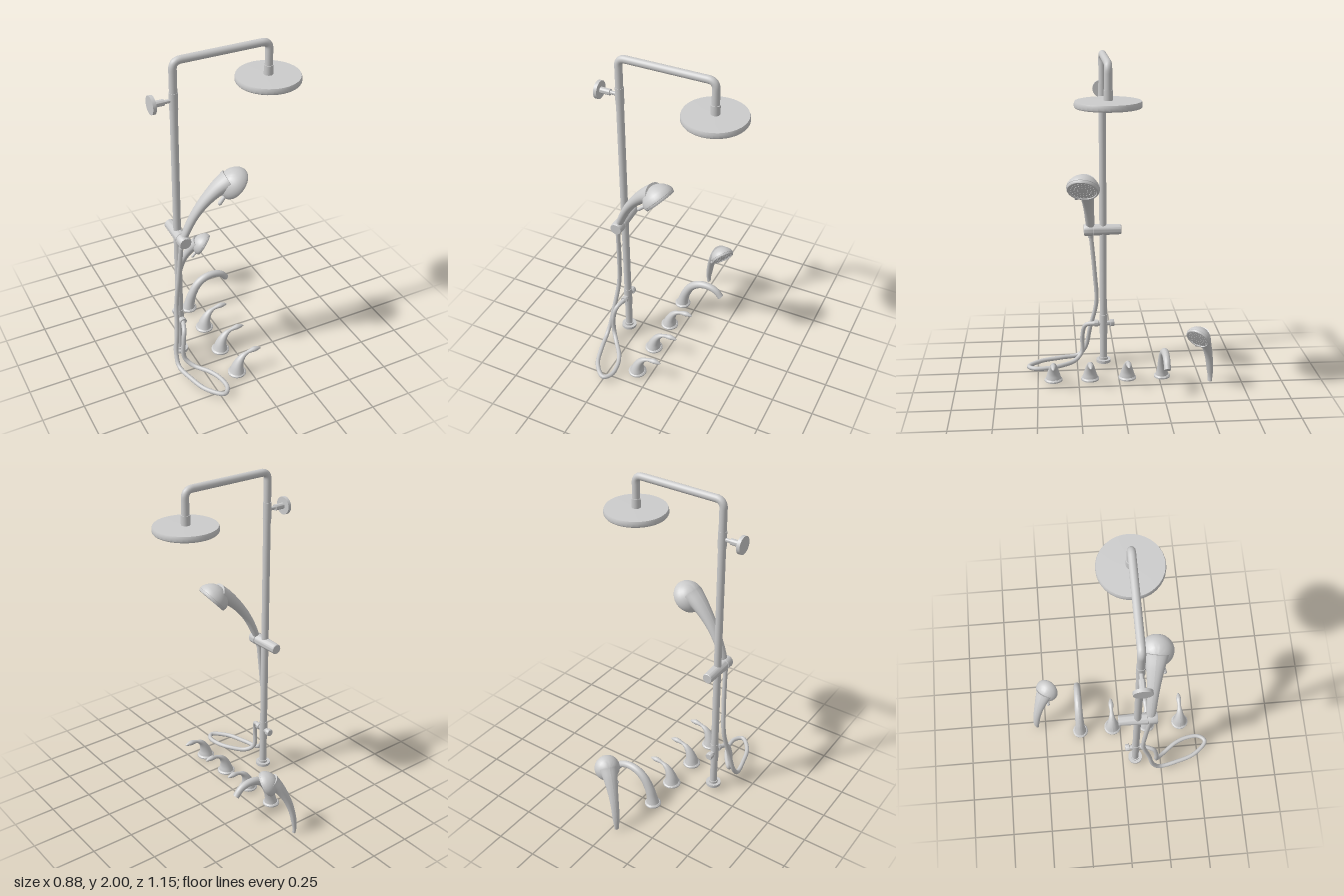
import * as THREE from 'three';
import { mergeGeometries, toCreasedNormals } from 'three/addons/utils/BufferGeometryUtils.js';

const material = new THREE.MeshStandardMaterial({ color: 0xcccccc });
const openMaterial = new THREE.MeshStandardMaterial({ color: 0xcccccc, side: THREE.DoubleSide });
const COL_X = -0.308, COL_Z = 0.083;
const V = (x, y, z) => new THREE.Vector3(x, y, z);

function add(parent, name, geometry, x = 0, y = 0, z = 0, mat = material) {
  const mesh = new THREE.Mesh(geometry, mat);
  mesh.name = name;
  mesh.position.set(x, y, z);
  parent.add(mesh);
  return mesh;
}

// Revolved profile of [radius, height] pairs, listed from bottom to top
function lathe(profile, sides = 32) {
  const g = new THREE.LatheGeometry(profile.map(([r, y]) => new THREE.Vector2(r, y)), sides);
  return toCreasedNormals(g, 0.6);
}

// Tapered sweep in the XY plane; each point is [x, y, radius], width stretches it along z
function sweep(points, { steps = 32, sides = 24, width = 1, openStart = false } = {}) {
  const curve = new THREE.CatmullRomCurve3(points.map(p => V(...p)), false, 'centripetal');
  const pos = [], index = [];
  const ring = (t, scale) => {
    const p = curve.getPoint(t), d = curve.getTangent(t);
    const l = Math.hypot(d.x, d.y), r = p.z * scale;
    for (let j = 0; j <= sides; j++) {
      const a = (j / sides) * Math.PI * 2, c = Math.cos(a) * r;
      pos.push(p.x - (d.y / l) * c, p.y + (d.x / l) * c, Math.sin(a) * r * width);
    }
  };
  const strip = rings => {
    const first = pos.length / 3, n = sides + 1;
    rings.forEach(([t, s]) => ring(t, s));
    for (let i = 0; i < rings.length - 1; i++) {
      for (let j = 0; j < sides; j++) {
        const a = first + i * n + j, c = a + n;
        index.push(a, a + 1, c, a + 1, c + 1, c);
      }
    }
  };
  strip(Array.from({ length: steps + 1 }, (_, i) => [i / steps, 1]));
  if (!openStart) strip([[0, 0], [0, 1]]);
  strip([[1, 1], [1, 0]]);
  const g = new THREE.BufferGeometry();
  g.setAttribute('position', new THREE.Float32BufferAttribute(pos, 3));
  g.setIndex(index);
  g.computeVertexNormals();
  return g;
}

// Rings of little spray nozzles; each ring is [radius, count]
function nozzles(rings, size, height) {
  const parts = [];
  for (const [r, count] of rings) {
    for (let i = 0; i < count; i++) {
      const a = (i / count) * Math.PI * 2;
      parts.push(new THREE.CylinderGeometry(size, size * 0.7, height, 6)
        .translate(Math.cos(a) * r, -height / 2, Math.sin(a) * r));
    }
  }
  return mergeGeometries(parts);
}

function column() {
  const g = new THREE.Group();
  g.name = 'column';
  // Riser, overhead arm and drop as one bent pipe
  const top = 1.977, end = 0.255, b = 0.045;
  const path = new THREE.CurvePath();
  const corners = [V(COL_X, 0.035, COL_Z), V(COL_X, top, COL_Z), V(end, top, COL_Z), V(end, 1.78, COL_Z)];
  let from = corners[0];
  for (let i = 1; i < 3; i++) {
    const c = corners[i];
    const p = c.clone().add(corners[i - 1].clone().sub(c).setLength(b));
    const q = c.clone().add(corners[i + 1].clone().sub(c).setLength(b));
    path.add(new THREE.LineCurve3(from, p));
    path.add(new THREE.QuadraticBezierCurve3(p, c, q));
    from = q;
  }
  path.add(new THREE.LineCurve3(from, corners[3]));
  add(g, 'pipe', new THREE.TubeGeometry(path, 200, 0.022, 20));

  // Collars and foot
  const collar = (name, y0, y1, r, x = COL_X) =>
    add(g, name, new THREE.CylinderGeometry(r, r, y1 - y0, 24), x, (y0 + y1) / 2, COL_Z);
  collar('foot', 0.028, 0.046, 0.046);
  collar('footCollar', 0.046, 0.06, 0.028);
  collar('lowerCollar', 0.22, 0.35, 0.025);
  collar('upperCollar', 1.7, 1.8, 0.0245);
  collar('headCollar', 1.785, 1.84, 0.026, end);

  // Wall mount
  const mount = add(g, 'wallMount', lathe([
    [0, 0], [0.011, 0], [0.011, 0.055], [0.018, 0.055], [0.018, 0.115],
    [0.052, 0.115], [0.052, 0.135], [0, 0.135]]), COL_X, 1.755, COL_Z);
  mount.rotation.z = Math.PI / 2;

  // Overhead rain head
  add(g, 'rainHead', lathe([
    [0, 1.752], [0.17, 1.752], [0.172, 1.747], [0.18, 1.747], [0.184, 1.753],
    [0.184, 1.772], [0.18, 1.782], [0.03, 1.785], [0, 1.785]], 36), end, 0, COL_Z);
  add(g, 'rainNozzles', nozzles(
    [[0.075, 24], [0.092, 24], [0.108, 36], [0.124, 36], [0.14, 48], [0.156, 48]], 0.004, 0.006),
    end, 1.752, COL_Z);

  // Sliding holder
  const holder = add(g, 'slidingHolder', lathe([
    [0, -0.03], [0.028, -0.03], [0.031, -0.026], [0.036, 0.14], [0.033, 0.142],
    [0.033, 0.147], [0.037, 0.149], [0.037, 0.193], [0.033, 0.2], [0, 0.2]]), COL_X, 0.905, 0);
  holder.rotation.x = Math.PI / 2;

  // Diverter valve with the hose outlet at the front
  const valve = add(g, 'diverterValve', lathe([
    [0, 0.015], [0.02, 0.015], [0.023, 0.02], [0.023, 0.04], [0.015, 0.042],
    [0.015, 0.115], [0.021, 0.117], [0.021, 0.14], [0, 0.14]]), COL_X, 0.29, 0);
  valve.rotation.x = Math.PI / 2;

  // Hose from the holder, round a loop on the floor, up to the valve
  const hose = new THREE.CatmullRomCurve3([
    V(-0.318, 0.87, 0.157), V(-0.33, 0.62, 0.135), V(-0.345, 0.42, 0.125),
    V(-0.365, 0.24, 0.165), V(-0.385, 0.1, 0.195), V(-0.388, 0.045, 0.24),
    V(-0.365, 0.037, 0.35), V(-0.32, 0.037, 0.48), V(-0.24, 0.037, 0.558),
    V(-0.203, 0.037, 0.52), V(-0.205, 0.037, 0.44), V(-0.235, 0.037, 0.36),
    V(-0.305, 0.04, 0.265), V(-0.342, 0.08, 0.222), V(-0.345, 0.2, 0.215),
    V(-0.33, 0.27, 0.195), V(COL_X, 0.29, 0.13)]);
  add(g, 'hose', new THREE.TubeGeometry(hose, 140, 0.0135, 12));
  return g;
}

// Hand shower whose origin is the centre of its spray face
function handShower(name, scale, yaw, tilt, x, y, z) {
  const g = new THREE.Group();
  g.name = name;
  add(g, 'handle', sweep([
    [-0.318, -0.372, 0.013], [-0.312, -0.335, 0.015], [-0.29, -0.27, 0.021], [-0.24, -0.165, 0.025],
    [-0.18, -0.08, 0.031], [-0.1, 0.0, 0.043], [-0.04, 0.04, 0.055]], { steps: 40, width: 1.3 }));
  const head = new THREE.Group();
  head.name = 'sprayHead';
  head.rotation.z = 0.82;
  add(head, 'shell', lathe([
    [0, 0.002], [0.08, 0.002], [0.083, -0.004], [0.091, -0.003], [0.096, 0.005], [0.096, 0.012],
    [0.098, 0.014], [0.096, 0.03], [0.087, 0.048], [0.071, 0.068], [0.05, 0.084], [0.025, 0.094],
    [0, 0.097]], 36));
  add(head, 'nozzles', nozzles([[0.03, 10], [0.05, 16], [0.07, 22]], 0.003, 0.004), 0, 0.002, 0);
  g.add(head);
  // Spray selector tab
  const tab = add(g, 'selectorTab', new THREE.CapsuleGeometry(0.012, 0.05, 4, 10), -0.09, -0.055, 0.045);
  tab.quaternion.setFromUnitVectors(V(0, 1, 0), V(-0.6, -0.5, 0.35).normalize());
  g.position.set(x, y, z);
  g.rotation.set(0, yaw, tilt);
  g.scale.setScalar(scale);
  return g;
}

// Deck fitting: hollow flange with a swept body
function deckFitting(name, z, flange, points, width) {
  const g = new THREE.Group();
  g.name = name;
  const inner = flange * 0.7;
  add(g, 'flange', lathe([[inner, 0.012], [flange, 0.012], [flange, 0.02],
    [flange * 0.85, 0.027], [inner, 0.027], [inner, 0.012]]), points[0][0], 0, 0, openMaterial);
  add(g, 'body', sweep(points, { width, openStart: true }), 0, 0, 0, openMaterial);
  g.position.z = z;
  return g;
}

export function createModel() {
  const model = new THREE.Group();
  model.name = 'showerSet';
  model.add(column());
  model.add(handShower('mountedHandShower', 1, -0.18, 0, -0.005, 1.225, 0.215));
  model.add(handShower('deckHandShower', 0.78, -0.64, 0.23, 0.112, 0.337, -0.453));

  // Three lever handles and the spout
  [0.405, 0.18, -0.05].forEach((z, i) => model.add(deckFitting('leverHandle' + (i + 1), z, 0.055, [
    [-0.082, 0.02, 0.045], [-0.077, 0.06, 0.034], [-0.062, 0.1, 0.024], [-0.04, 0.128, 0.016],
    [-0.012, 0.143, 0.01], [0.015, 0.149, 0.013], [0.035, 0.151, 0.015], [0.06, 0.149, 0.01],
    [0.075, 0.146, 0.004]], 1.12)));
  model.add(deckFitting('spout', -0.267, 0.05, [
    [-0.09, 0.02, 0.04], [-0.083, 0.06, 0.033], [-0.065, 0.12, 0.029], [-0.025, 0.188, 0.026],
    [0.03, 0.225, 0.024], [0.09, 0.232, 0.022], [0.145, 0.214, 0.021], [0.18, 0.175, 0.02]], 1));
  return model;
}
